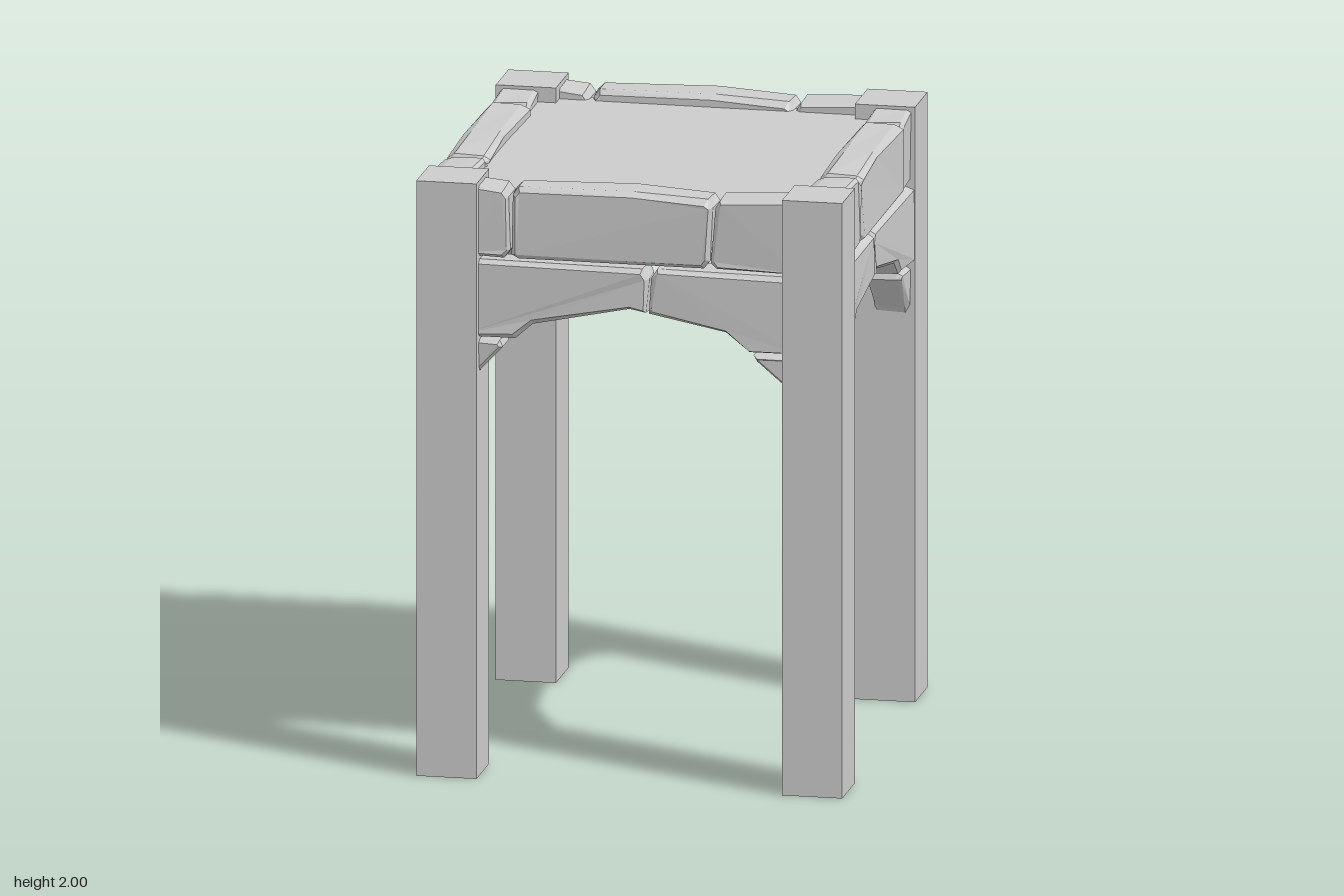
import * as THREE from 'three';

const stone = new THREE.MeshStandardMaterial({ color: 0xcccccc, flatShading: true });
stone.name = 'pale stone grey';

// Small repeatable offset, equal for equal positions so corners stay joined
function wobble(x, y, z, k) {
  const s = Math.sin(x * 127.1 + y * 311.7 + z * 74.7 + k * 19.3) * 43758.5453;
  return s - Math.floor(s) - 0.5;
}

// Chipped brick: bevelled outline in x-y between depths z0 and z1
function brick(name, outline, z0, z1, bevel) {
  const shape = new THREE.Shape(outline.map(([x, y]) => new THREE.Vector2(x, y)));
  const geo = new THREE.ExtrudeGeometry(shape, {
    depth: z1 - z0 - 2 * bevel, bevelEnabled: true, bevelSegments: 1,
    bevelSize: bevel * 0.6, bevelThickness: bevel, bevelOffset: -bevel * 0.6,
  });
  geo.translate(0, 0, z0 + bevel);
  const p = geo.attributes.position;
  for (let i = 0; i < p.count; i++) {
    const [x, y, z] = [p.getX(i), p.getY(i), p.getZ(i)].map((v) => Math.round(v * 1000) / 1000);
    p.setXYZ(i, x + wobble(x, y, z, 1) * 0.006, y + wobble(x, y, z, 2) * 0.006, z + wobble(x, y, z, 3) * 0.012);
  }
  geo.computeVertexNormals();
  const mesh = new THREE.Mesh(geo, stone);
  mesh.name = name;
  return mesh;
}

// One arched side: three courses of bricks, outer face towards +z
function wall(name, x, z, turn) {
  const g = new THREE.Group();
  g.name = name;
  g.add(
    // top course
    brick('topBrickLeft', [[-0.57, 1.75], [-0.43, 1.745], [-0.408, 1.77], [-0.412, 1.95], [-0.43, 1.975], [-0.57, 1.99]], -0.06, 0.065, 0.015),
    brick('topBrickMiddle', [[-0.4, 1.755], [-0.38, 1.745], [0.235, 1.745], [0.257, 1.77], [0.268, 1.95], [0.25, 1.975], [0.0, 1.99], [-0.38, 1.985], [-0.403, 1.96]], -0.07, 0.072, 0.025),
    brick('topBrickRight', [[0.262, 1.765], [0.28, 1.745], [0.57, 1.735], [0.57, 1.99], [0.29, 1.975], [0.274, 1.95]], -0.07, 0.068, 0.018),
    // arch course
    brick('archBrickLeft', [[-0.57, 1.475], [-0.39, 1.48], [-0.33, 1.53], [-0.01, 1.592], [0.045, 1.583], [0.052, 1.7], [0.035, 1.732], [-0.57, 1.735]], -0.068, 0.07, 0.02),
    brick('archBrickRight', [[0.053, 1.582], [0.31, 1.532], [0.385, 1.47], [0.57, 1.47], [0.57, 1.728], [0.08, 1.735], [0.06, 1.705]], -0.068, 0.07, 0.02),
    // springer stones at the foot of the arch
    brick('springerLeft', [[-0.57, 1.28], [-0.54, 1.33], [-0.43, 1.445], [-0.44, 1.465], [-0.57, 1.465]], -0.055, 0.06, 0.015),
    brick('springerRight', [[0.57, 1.3], [0.57, 1.46], [0.4, 1.462], [0.41, 1.44], [0.5, 1.365]], -0.055, 0.06, 0.015),
  );
  g.position.set(x, 0, z);
  g.rotation.y = turn;
  return g;
}

function box(name, x0, x1, y0, y1, z0, z1) {
  const mesh = new THREE.Mesh(new THREE.BoxGeometry(x1 - x0, y1 - y0, z1 - z0), stone);
  mesh.position.set((x0 + x1) / 2, (y0 + y1) / 2, (z0 + z1) / 2);
  mesh.name = name;
  return mesh;
}

export function createModel() {
  const model = new THREE.Group();
  model.name = 'stoneArchTower';

  // Square corner legs, full height
  [['frontRightLeg', -0.71, 0.523], ['frontLeftLeg', 0.505, 0.523],
    ['backRightLeg', -0.71, -0.73], ['backLeftLeg', 0.483, -0.73]]
    .forEach(([name, x, z]) => model.add(box(name, x, x + 0.2, 0, 2, z, z + 0.2)));

  // Four arched brick sides
  model.add(
    wall('frontWall', 0, 0.625, 0),
    wall('backWall', 0, -0.65, 0),
    wall('rightWall', -0.632, 0.02, -Math.PI / 2),
    wall('leftWall', 0.608, 0.02, -Math.PI / 2),
  );

  // Sunken roof slab between the walls
  model.add(box('roofSlab', -0.6, 0.58, 1.93, 1.95, -0.62, 0.6));
  return model;
}
